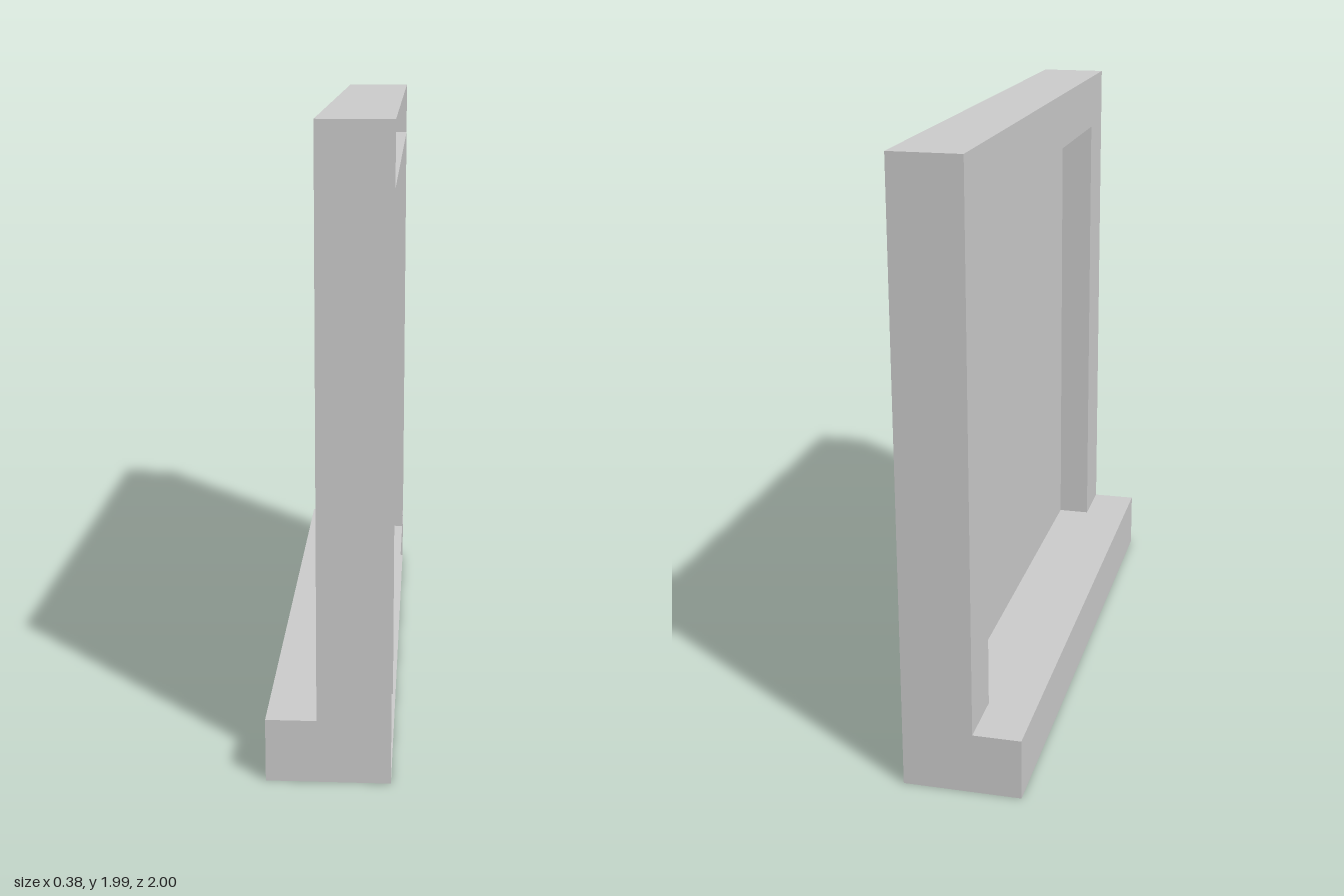
import * as THREE from 'three';

const material = new THREE.MeshStandardMaterial({ color: 0xcccccc, side: THREE.DoubleSide, flatShading: true });

// Hollow box given by its bounds, open towards +x (the wall side), optionally without top and bottom
function openBox(name, [x0, x1], [y0, y1], [z0, z1], capped = true) {
  const geometry = new THREE.BoxGeometry(x1 - x0, y1 - y0, z1 - z0);
  const index = Array.from(geometry.index.array);
  // face order: +x, -x, +y, -y, +z, -z, six indices each
  geometry.setIndex(index.filter((_, i) => i >= 6 && (capped || i < 12 || i >= 24)));
  const mesh = new THREE.Mesh(geometry, material);
  mesh.name = name;
  mesh.position.set((x0 + x1) / 2, (y0 + y1) / 2, (z0 + z1) / 2);
  return mesh;
}

export function createModel() {
  const group = new THREE.Group();
  group.name = 'window';

  const back = 0.19, face = -0.035, sillFace = -0.19;
  const sillTop = 0.2, headBottom = 1.797, top = 1.985;
  const inner = 0.8, outer = 1;

  // Projecting sill and head of the frame
  group.add(openBox('sill', [sillFace, back], [0, sillTop], [-outer, outer]));
  group.add(openBox('head', [face, back], [headBottom, top], [-outer, outer]));

  // Side posts, closed above and below by head and sill
  group.add(openBox('leftPost', [face, back], [sillTop, headBottom], [inner, outer], false));
  group.add(openBox('rightPost', [face, back], [sillTop, headBottom], [-outer, -inner], false));

  // Thin pane set midway into the frame
  const pane = new THREE.Mesh(new THREE.PlaneGeometry(2 * inner, headBottom - sillTop), material);
  pane.name = 'pane';
  pane.rotation.y = -Math.PI / 2;
  pane.position.set(0.077, (sillTop + headBottom) / 2, 0);
  group.add(pane);

  return group;
}
